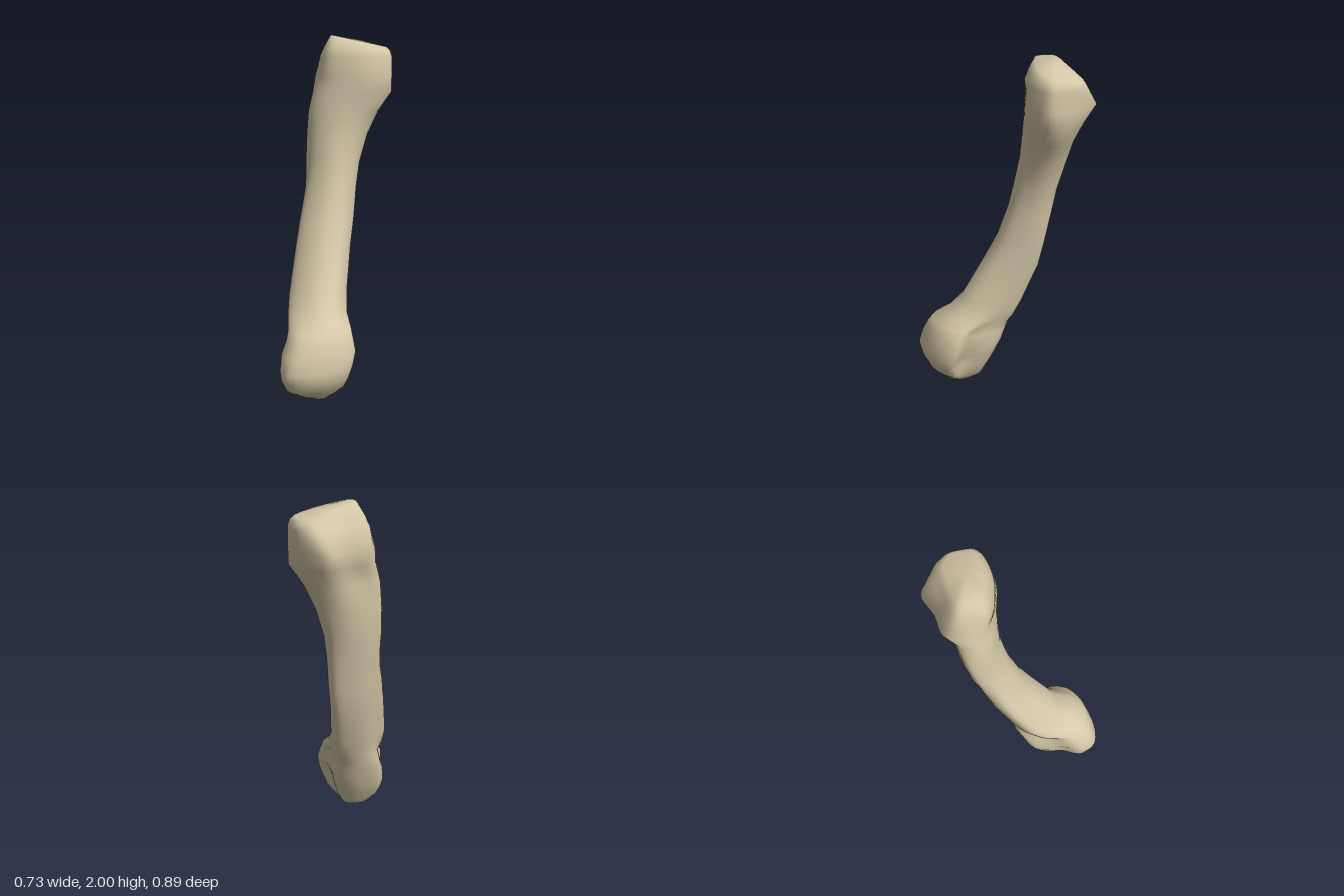
import * as THREE from 'three';

const SEGMENTS = 50;

// Normalised outlines (u = x, v = z), running from +x round through +z, ordered from bottom to top:
// rounded head, lower shaft, upper shaft, base with its back ridge, top of the base.
const OUTLINES = [
  [[.88, .1], [1, .5], [.5, .87], [-.25, 1], [-.82, .85], [-1, .4], [-.74, -.2], [-.45, -.88], [.35, -.97], [.82, -.68]],
  [[1, -.4], [.84, .3], [.38, .92], [-.2, .95], [-.75, .5], [-1, -.12], [-.64, -.6], [-.1, -.95], [.45, -1], [.95, -.82]],
  [[1, 0], [.8, .5], [.35, .92], [-.2, .95], [-.7, .5], [-.95, -.1], [-.95, -.6], [-.4, -.95], [.35, -.95], [.88, -.6]],
  [[1, .2], [.9, .75], [.3, 1], [-.3, .85], [-.8, .5], [-1, -.1], [-.75, -.68], [-.2, -.78], [.4, -1], [.84, -.45]],
  [[1, .2], [.9, .75], [.3, 1], [-.3, .92], [-.9, .58], [-1, -.1], [-.86, -.78], [-.2, -.95], [.62, -1], [.95, -.55]],
];

// y, x min, x max, z min, z max, position in OUTLINES, tilt
const LEVELS = [
  [.005, -.19, -.08, .17, .29, .4, 0],
  [.04, -.26, -.04, .095, .345, .2, 0],
  [.09, -.33, 0, .065, .405, 0, 0],
  [.15, -.36, .025, .03, .435, 0, 0],
  [.21, -.368, .045, 0, .45, 0, 0],
  [.29, -.352, .065, -.03, .43, 0, 0],
  [.36, -.318, .055, -.055, .41, .05, 0],
  [.41, -.302, .05, -.072, .38, .2, 0],
  [.46, -.29, .055, -.085, .32, .8, 0],
  [.56, -.27, .075, -.12, .215, 1, 0],
  [.8, -.217, .115, -.205, .09, 1, 0],
  [.95, -.184, .14, -.235, .015, 1.3, 0],
  [1.14, -.14, .16, -.275, -.04, 1.7, 0],
  [1.27, -.13, .18, -.3, -.065, 2, 0],
  [1.43, -.12, .23, -.33, -.09, 2.2, 0],
  [1.57, -.11, .295, -.352, -.09, 2.5, 0],
  [1.68, -.085, .365, -.38, -.075, 2.9, 0],
  [1.77, -.065, .365, -.445, -.065, 3, 0],
  [1.88, -.04, .365, -.37, -.08, 4, 0],
  [1.925, -.015, .355, -.345, -.1, 4, -.012],
  [1.966, .02, .335, -.31, -.13, 4, -.034],
];

// Blended, smoothed outline fitted exactly into the level's box
function ring([y, x0, x1, z0, z1, stage, tilt]) {
  const from = Math.floor(stage);
  const next = OUTLINES[Math.ceil(stage)];
  const points = OUTLINES[from].map(([u, v], i) => new THREE.Vector3(
    THREE.MathUtils.lerp(u, next[i][0], stage - from), 0, THREE.MathUtils.lerp(v, next[i][1], stage - from)));
  const loop = new THREE.CatmullRomCurve3(points, true).getPoints(SEGMENTS).slice(0, SEGMENTS);
  const box = new THREE.Box3().setFromPoints(loop);
  return loop.map((p) => {
    const u = (p.x - box.min.x) / (box.max.x - box.min.x);
    const v = (p.z - box.min.z) / (box.max.z - box.min.z);
    const z = THREE.MathUtils.lerp(z0, z1, v);
    // Shallow hollows on both sides of the rounded head
    const pit = .025 * Math.exp(-((y - .2) ** 2 + (z - .24) ** 2) / .004);
    const x = THREE.MathUtils.lerp(x0, x1, u) + (u > .5 ? -pit : pit);
    return new THREE.Vector3(x, y + tilt * (2 * u - 1), z);
  });
}

// Loft through all rings, closed by a fan at each end
function loft(rings) {
  const positions = [];
  const index = [];
  const add = (p) => positions.push(p.x, p.y, p.z) / 3 - 1;
  rings.forEach((r) => r.forEach(add));
  const centre = (r) => r.reduce((s, p) => s.add(p), new THREE.Vector3()).divideScalar(r.length);
  const top = (rings.length - 1) * SEGMENTS;
  const low = add(centre(rings[0]).setY(0));
  const high = add(centre(rings[rings.length - 1]).add(new THREE.Vector3(0, .005, 0)));
  for (let i = 0; i < SEGMENTS; i++) {
    const k = (i + 1) % SEGMENTS;
    for (let j = 0; j < top; j += SEGMENTS) {
      const a = j + i, b = j + k, c = a + SEGMENTS, d = b + SEGMENTS;
      index.push(a, c, b, b, c, d);
    }
    index.push(low, i, k, high, top + k, top + i);
  }
  const geometry = new THREE.BufferGeometry();
  geometry.setAttribute('position', new THREE.Float32BufferAttribute(positions, 3));
  geometry.setIndex(index);
  geometry.computeVertexNormals();
  return geometry;
}

export function createModel() {
  const group = new THREE.Group();
  group.name = 'footBone';
  const material = new THREE.MeshStandardMaterial({ color: 0xd6c9a8 });
  material.name = 'bone';
  const bone = new THREE.Mesh(loft(LEVELS.map(ring)), material);
  bone.name = 'boneShaftAndEnds';
  group.add(bone);
  return group;
}
